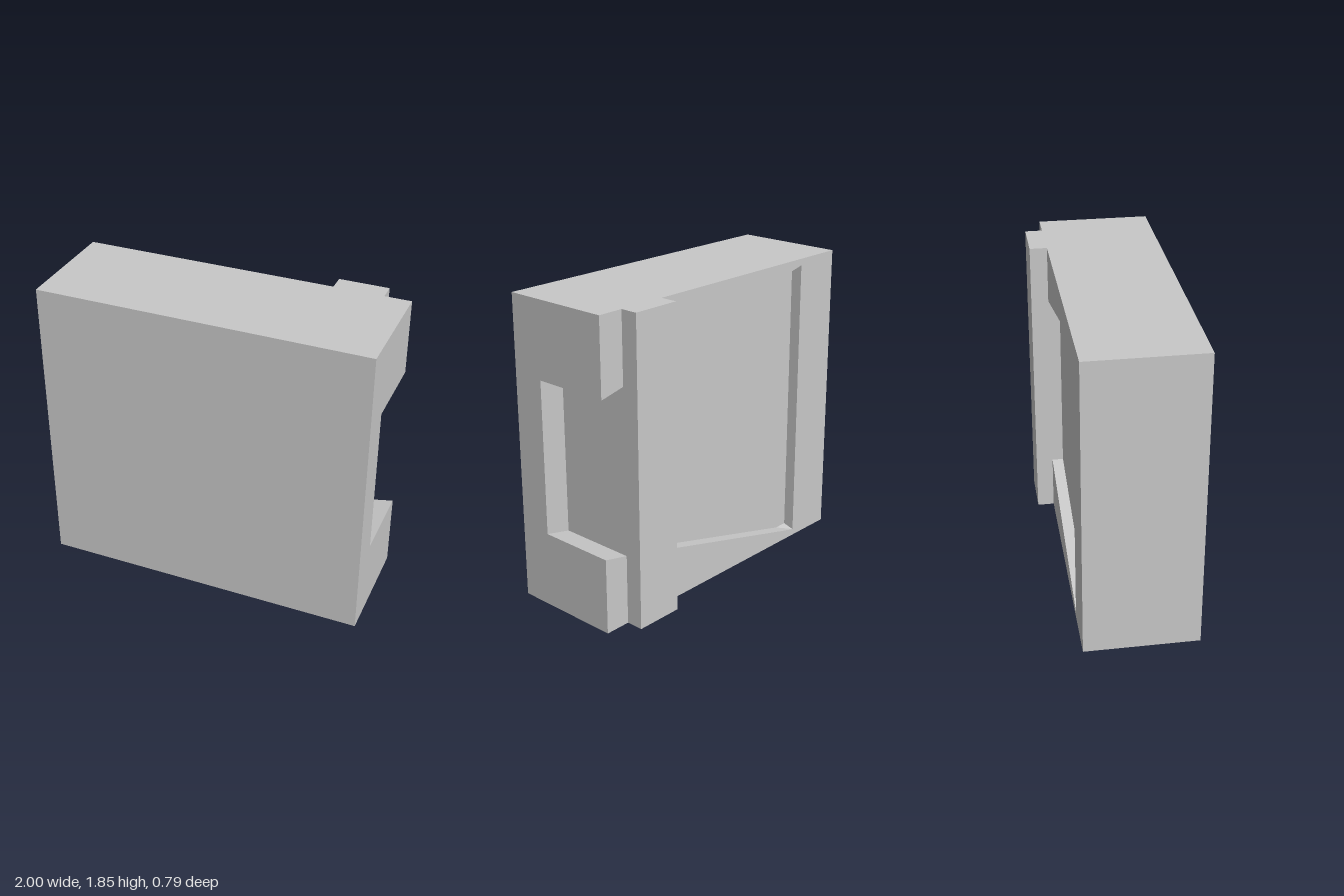
import * as THREE from 'three';

const H = 1.85;                 // overall height
const FRONT = 0.395, BACK = -0.29, RIDGE = -0.395;
const FLOOR = -0.22;            // bottom of the back recess
const POST = [0.54, 0.84];      // x range of the ridge
const NOTCH = 0.19;             // z where the side notch begins

const extrude = (points, depth) => new THREE.ExtrudeGeometry(
  new THREE.Shape(points.map(([x, y]) => new THREE.Vector2(x, y))),
  { depth, bevelEnabled: false }
);

export function createModel() {
  const group = new THREE.Group();
  const grey = new THREE.MeshStandardMaterial({ color: 0xc8c8c8 });
  grey.name = 'plain grey';

  const add = (name, geometry, x = 0, y = 0, z = 0) => {
    geometry.translate(x, y, z);
    const mesh = new THREE.Mesh(geometry, grey);
    mesh.name = name;
    group.add(mesh);
  };

  // Main slab and its full-height back ridge, drawn in plan as (x, -z)
  const plan = [
    [-1, -FRONT], [POST[1], -FRONT], [POST[1], -RIDGE],
    [POST[0], -RIDGE], [POST[0], -FLOOR], [-1, -FLOOR],
  ];
  add('slabWithRidge', extrude(plan, H).rotateX(-Math.PI / 2));

  // C-shaped rim around the flared back recess
  const rim = extrude([
    [-1, 0], [POST[0], 0], [POST[0], 0.35], [-0.6, 0.06], [-0.686, 0.04],
    [-0.686, H - 0.04], [-0.6, H - 0.06], [POST[0], H - 0.35], [POST[0], H], [-1, H],
  ], FLOOR - BACK);
  // The far corners level off where they meet the recess floor
  const p = rim.attributes.position;
  for (let i = 0; i < p.count; i++) {
    if (p.getZ(i) > 0.01 && Math.abs(p.getX(i) + 0.686) < 0.001) {
      p.setY(i, p.getY(i) < H / 2 ? 0.06 : H - 0.06);
    }
  }
  rim.computeVertexNormals();
  add('recessRim', rim, 0, 0, BACK);

  // Side strip in front of the notch
  const width = 1 - POST[1];
  add('sideStrip', new THREE.BoxGeometry(width, H, FRONT - NOTCH),
    (1 + POST[1]) / 2, H / 2, (FRONT + NOTCH) / 2);

  // Upper and lower tabs, sloped so the notch widens inward
  const lower = [[POST[1], 0], [1, 0], [1, 0.46], [POST[1], 0.425]];
  const upper = lower.map(([x, y]) => [x, H - y]).reverse();
  add('lowerTab', extrude(lower, NOTCH - BACK), 0, 0, BACK);
  add('upperTab', extrude(upper, NOTCH - BACK), 0, 0, BACK);

  return group;
}
